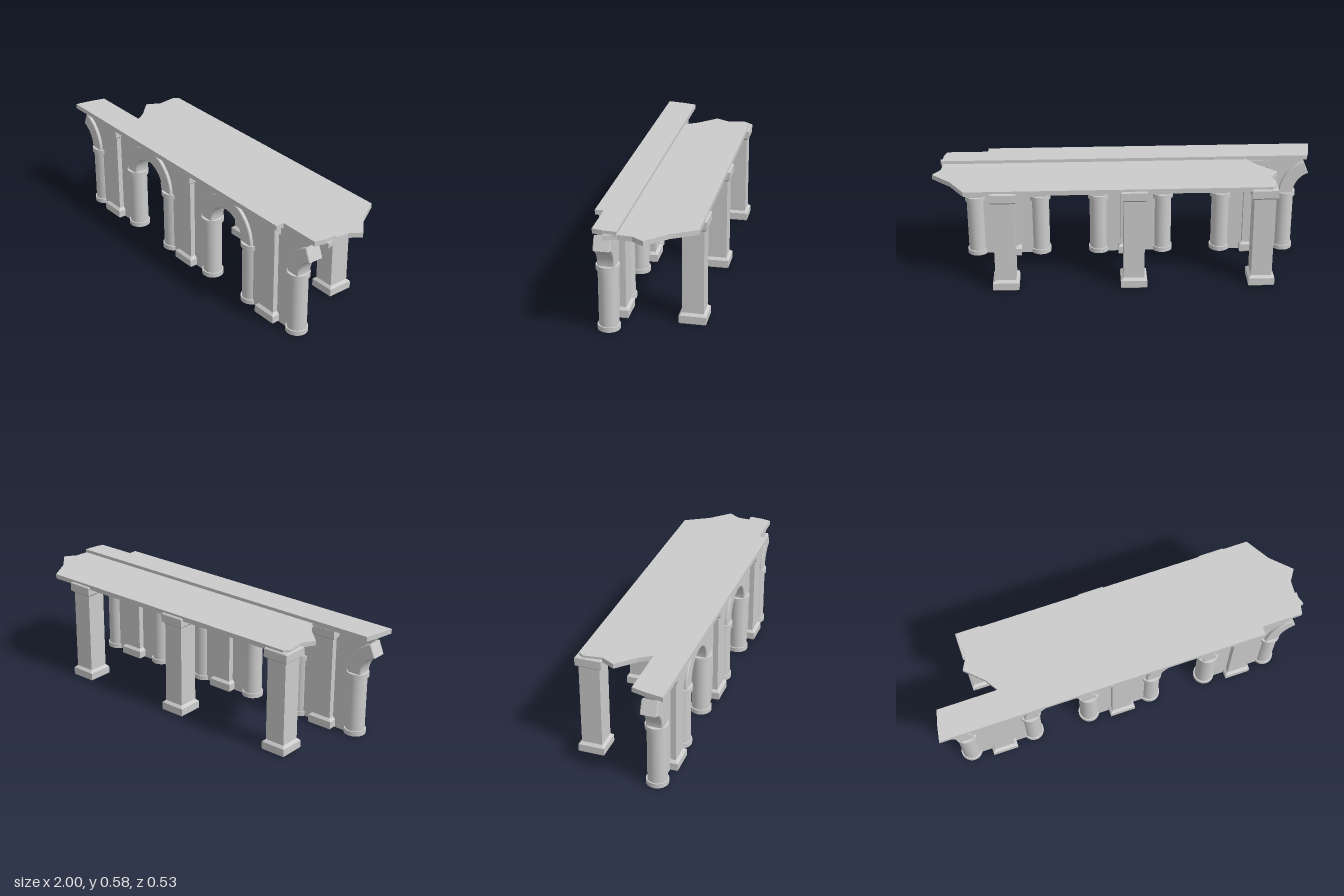
import * as THREE from 'three';

const stone = new THREE.MeshStandardMaterial({ color: 0xcccccc });
const ROW_Z = 0.188;          // centre line of the arcade
const BAY = 0.6635;           // distance between pillars
const SPRING = 0.34;          // height where the arches start
const PILLARS = [-0.697, -0.697 + BAY, -0.697 + 2 * BAY];

function add(parent, name, geometry, x = 0, y = 0, z = 0) {
  const mesh = new THREE.Mesh(geometry, stone);
  mesh.name = name;
  mesh.position.set(x, y, z);
  parent.add(mesh);
  return mesh;
}

// Square section lathe with flat faces; profile is [half width, height].
function squareLathe(profile) {
  const pts = profile.map(([w, y]) => new THREE.Vector2(w * Math.SQRT2, y));
  const g = new THREE.LatheGeometry(pts, 4).rotateY(Math.PI / 4).toNonIndexed();
  g.computeVertexNormals();
  return g;
}

// Horizontal slab from [x, z] outline points.
function slab(outline, y, height) {
  const shape = new THREE.Shape(outline.map(([x, z]) => new THREE.Vector2(x, -z)));
  return new THREE.ExtrudeGeometry(shape, { depth: height, bevelEnabled: false })
    .rotateX(-Math.PI / 2).translate(0, y, 0);
}

// Arch moulding between two angles in degrees, springing from y = 0.
function archRing(from, to) {
  const a = THREE.MathUtils.degToRad(from), b = THREE.MathUtils.degToRad(to);
  const shape = new THREE.Shape();
  shape.absarc(0, 0, 0.191, a, b, false);
  shape.absarc(0, 0, 0.124, b, a, true);
  shape.closePath();
  return new THREE.ExtrudeGeometry(shape, {
    depth: 0.075, curveSegments: 24,
    bevelSize: 0.004, bevelThickness: 0.004, bevelSegments: 1,
  }).translate(0, 0, -0.0375);
}

// Wall panel around one pillar; a broken side stops short of the arch crown.
function wallPanel(brokenLeft, brokenRight) {
  const half = BAY / 2, r = 0.155, foot = half - r, top = 0.553;
  const rad = THREE.MathUtils.degToRad;
  const s = new THREE.Shape();
  s.moveTo(-foot, 0);
  s.lineTo(foot, 0);
  s.lineTo(foot, SPRING);
  s.absarc(half, SPRING, r, Math.PI, rad(brokenRight ? 112 : 90), true);
  if (brokenRight) s.lineTo(half - 0.075, 0.522);
  s.lineTo(half - (brokenRight ? 0.055 : 0), top);
  s.lineTo(-half + (brokenLeft ? 0.055 : 0), top);
  if (brokenLeft) s.lineTo(-half + 0.075, 0.522);
  s.absarc(-half, SPRING, r, rad(brokenLeft ? 68 : 90), 0, true);
  s.lineTo(-foot, 0);
  return new THREE.ExtrudeGeometry(s, { depth: 0.05, bevelEnabled: false, curveSegments: 20 })
    .translate(0, 0, -0.025);
}

export function createModel() {
  const model = new THREE.Group();
  model.name = 'ruinedArcade';

  // Square pillars, hollow at the foot, in a front and a back row
  const pillar = squareLathe([
    [0, 0.04], [0.042, 0.04], [0.042, 0], [0.064, 0], [0.068, 0.005], [0.068, 0.043],
    [0.054, 0.056], [0.054, 0.49], [0.068, 0.502], [0.068, 0.543], [0.064, 0.548], [0, 0.548],
  ]);
  for (const x of PILLARS) {
    add(model, 'frontPillar', pillar, x, 0, 0.186);
    add(model, 'backPillar', pillar, x, 0, -0.199);
  }

  // Wall panels, each flanked by two round columns
  PILLARS.forEach((x, i) => {
    add(model, 'wallPanel', wallPanel(i === 0, i === 2), x, 0, ROW_Z);
    for (const side of [-1, 1]) {
      const column = new THREE.Group();
      column.name = 'roundColumn';
      column.position.set(x + side * 0.173, 0, ROW_Z);
      const drum = (name, r, y0, y1) =>
        add(column, name, new THREE.CylinderGeometry(r, r, y1 - y0, 32), 0, (y0 + y1) / 2, 0);
      drum('columnBase', 0.056, 0, 0.025);
      drum('columnShaft', 0.049, 0.025, 0.317);
      drum('columnCapital', 0.0575, 0.316, 0.341);
      model.add(column);
    }
  });

  // Two whole arches and a broken one at each end
  const first = PILLARS[0] - BAY / 2;
  [[0, 68], [0, 180], [0, 180], [112, 180]].forEach(([from, to], i) =>
    add(model, from || to < 180 ? 'brokenArch' : 'arch', archRing(from, to),
      first + i * BAY, SPRING, ROW_Z));

  // Floor deck in three slabs with ragged ends
  const back = -0.255, front = 0.17;
  const decks = [
    [[-0.245, back], [-0.735, back], [-0.757, -0.225], [-0.745, -0.13], [-0.783, -0.06],
      [-0.69, 0.03], [-0.645, 0.1], [-0.62, front], [-0.245, front]],
    [[-0.245, back], [-0.245, front], [0.46, front], [0.46, back]],
    [[0.46, back], [0.46, front], [0.975, 0.165], [0.955, 0.1], [0.96, 0.03],
      [1, -0.03], [0.9, -0.13], [0.825, back]],
  ];
  for (const d of decks) add(model, 'deckSlab', slab(d, 0.535, 0.025));

  // Coping along the top of the arcade, narrower and broken at the left end
  const z0 = 0.103, z1 = 0.266;
  const copings = [
    [[-1, z1], [-0.765, z1], [-0.765, z0], [-0.965, z0], [-0.985, 0.18]],
    [[-0.765, z0], [-0.765, z1], [-0.095, z1], [-0.095, z0]],
    [[-0.095, z0], [-0.095, z1], [0.725, z1], [0.725, z0]],
    [[0.725, z0], [0.725, 0.222], [0.942, 0.222], [0.955, 0.17], [0.96, z0]],
  ];
  for (const c of copings) add(model, 'copingSlab', slab(c, 0.552, 0.025));

  return model;
}
